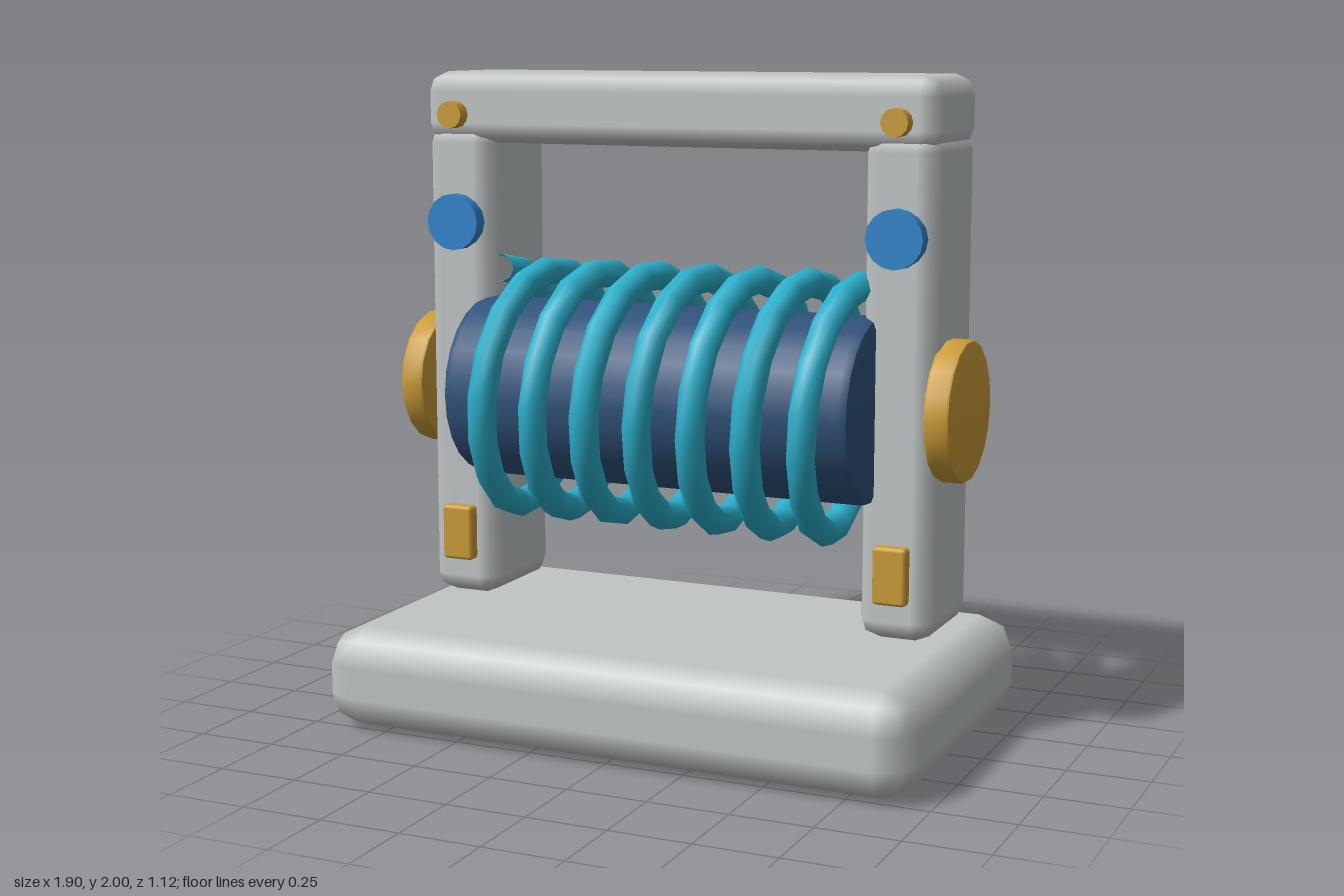
import * as THREE from 'three';
import { toCreasedNormals } from 'three/addons/utils/BufferGeometryUtils.js';
import { RoundedBoxGeometry } from 'three/addons/geometries/RoundedBoxGeometry.js';

const material = (name, color) => {
  const m = new THREE.MeshStandardMaterial({ color });
  m.name = name;
  return m;
};

// Helix around the x axis: top, back, bottom, front, top
class CoilCurve extends THREE.Curve {
  constructor(radius, length, turns) {
    super();
    Object.assign(this, { radius, length, turns });
  }
  getPoint(t, target = new THREE.Vector3()) {
    const a = t * this.turns * Math.PI * 2;
    return target.set((t - 0.5) * this.length, Math.cos(a) * this.radius, -Math.sin(a) * this.radius);
  }
}

// Cylinder along y with bevelled rims
function bevelledCylinder(radius, length, bevel, sides) {
  const h = length / 2, k = bevel * 0.293;
  const profile = [
    [0, -h], [radius - bevel, -h], [radius - k, -h + k], [radius, -h + bevel],
    [radius, h - bevel], [radius - k, h - k], [radius - bevel, h], [0, h],
  ].map(([x, y]) => new THREE.Vector2(x, y));
  return toCreasedNormals(new THREE.LatheGeometry(profile, sides), 0.6);
}

export function createModel() {
  const model = new THREE.Group();
  model.name = 'coilStand';

  const grey = material('light grey', 0xc1c5c5);
  const navy = material('navy', 0x30527a);
  const cyan = material('cyan', 0x2bb0cc);
  const gold = material('gold', 0xcb9c37);
  const blue = material('blue', 0x2f84cc);

  const add = (name, geometry, mat, x, y, z) => {
    const mesh = new THREE.Mesh(geometry, mat);
    mesh.name = name;
    mesh.position.set(x, y, z);
    model.add(mesh);
    return mesh;
  };
  const block = (w, h, d, r) => new RoundedBoxGeometry(w, h, d, 1, r);

  // Base and crossbeam
  add('base', block(1.905, 0.315, 1.125, 0.11), grey, 0, 0.1575, 0);
  add('crossbeam', block(1.685, 0.22, 0.405, 0.06), grey, 0, 1.89, -0.148);

  // Drum and the coil wound round it
  add('drum', bevelledCylinder(0.282, 1.325, 0.03, 24).rotateZ(-Math.PI / 2), navy, 0, 1.02, 0);
  const coilMesh = add('coil', new THREE.TubeGeometry(new CoilCurve(0.37, 1.2, 7), 120, 0.044, 8), cyan, 0, 1.02, 0);
  coilMesh.material.side = THREE.DoubleSide;

  // Posts with their fittings
  for (const [side, s] of [['left', 1], ['right', -1]]) {
    const x = s * 0.725;
    add(`${side}Post`, block(0.23, 1.505, 0.4, 0.06), grey, x, 1.0875, -0.148);
    add(`${side}AxleCap`, bevelledCylinder(0.213, 0.08, 0.012, 18).rotateZ(-Math.PI / 2), gold, s * 0.868, 1.02, -0.098);
    add(`${side}Disc`, new THREE.CylinderGeometry(0.088, 0.088, 0.05, 16).rotateX(Math.PI / 2), blue, x, 1.535, 0.063);
    add(`${side}Bolt`, new THREE.CylinderGeometry(0.042, 0.042, 0.06, 12).rotateX(Math.PI / 2), gold, x, 1.868, 0.07);
    add(`${side}Plate`, block(0.105, 0.175, 0.05, 0.012), gold, x, 0.543, 0.066);
  }
  return model;
}
